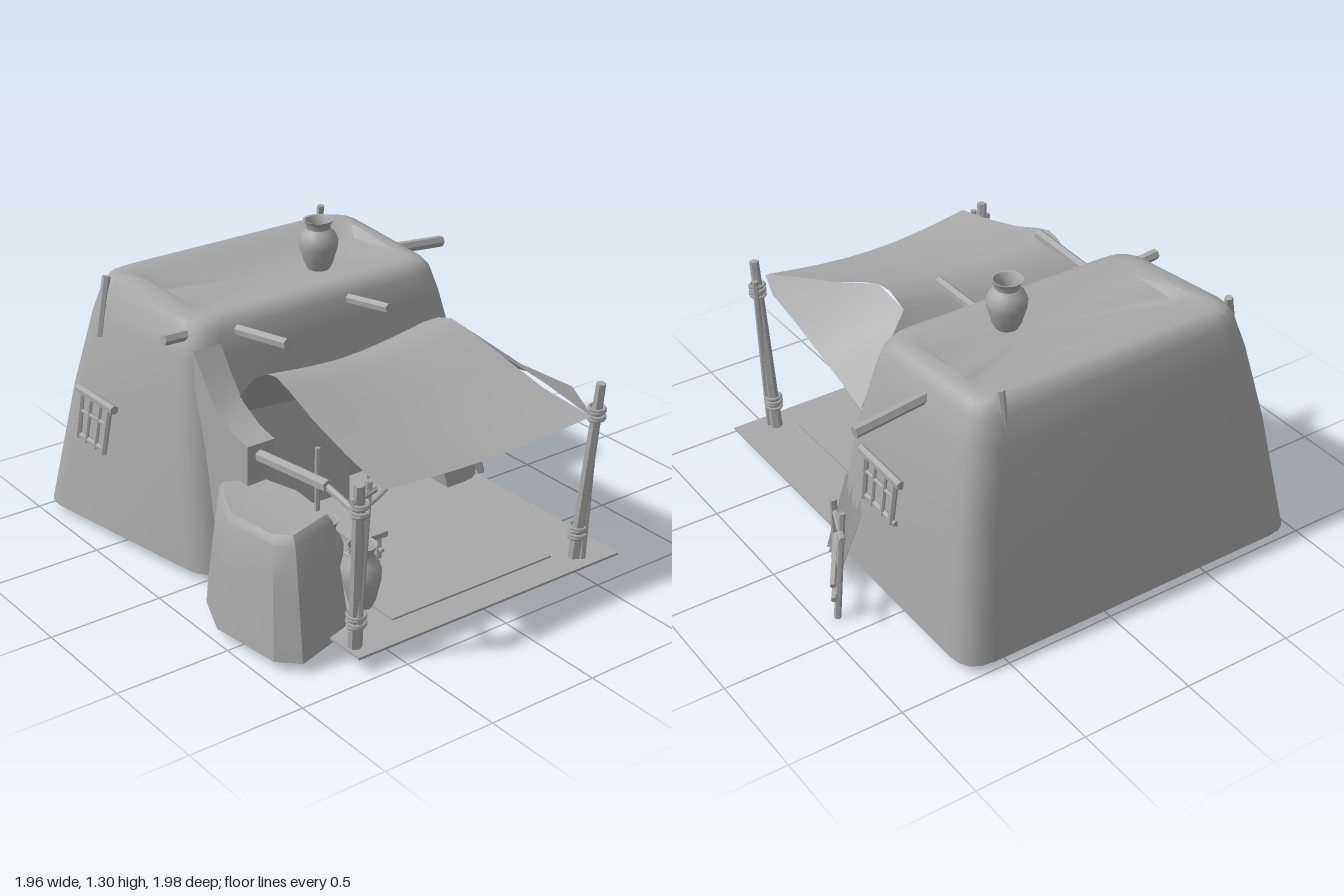
import * as THREE from 'three';
import { toCreasedNormals } from 'three/addons/utils/BufferGeometryUtils.js';

const clay = new THREE.MeshStandardMaterial({ color: 0xa8a8a8, side: THREE.DoubleSide });
clay.name = 'plain clay grey';

export function createModel() {
  const model = new THREE.Group();
  const V = (p) => new THREE.Vector3(...p);

  const add = (name, geo, parent = model) => {
    const mesh = new THREE.Mesh(geo, clay);
    mesh.name = name;
    parent.add(mesh);
    return mesh;
  };
  const group = (name) => {
    const g = new THREE.Group();
    g.name = name;
    model.add(g);
    return g;
  };
  const fromTriangles = (tris, crease) => {
    const geo = new THREE.BufferGeometry();
    geo.setAttribute('position', new THREE.Float32BufferAttribute(tris.flat(), 3));
    geo.computeVertexNormals();
    return crease ? toCreasedNormals(geo, crease) : geo;
  };
  // Skin between closed rings of points, with a fan on the last ring
  const loft = (rings, crease, skip = () => false) => {
    const tris = [], n = rings[0].length;
    for (let i = 0; i < rings.length - 1; i++) for (let j = 0; j < n; j++) {
      if (skip(i, j)) continue;
      const k = (j + 1) % n;
      const [a, b, c, d] = [rings[i][j], rings[i][k], rings[i + 1][k], rings[i + 1][j]];
      tris.push(...a, ...b, ...c, ...a, ...c, ...d);
    }
    const top = rings[rings.length - 1];
    const mid = [0, 1, 2].map((q) => top.reduce((s, p) => s + p[q], 0) / n);
    top.forEach((p, j) => tris.push(...p, ...top[(j + 1) % n], ...mid));
    return fromTriangles(tris, crease);
  };
  // Open sheet from rows of points
  const sheet = (rows, crease = 0.7) => {
    const tris = [];
    for (let i = 0; i < rows.length - 1; i++) for (let j = 0; j < rows[i].length - 1; j++) {
      const [a, b, c, d] = [rows[i][j], rows[i + 1][j], rows[i + 1][j + 1], rows[i][j + 1]];
      tris.push(...a, ...b, ...c, ...a, ...c, ...d);
    }
    return fromTriangles(tris, crease);
  };
  // Rough timber between two points
  const bar = (name, a, b, r, parent = model, sides = 6, r2 = r) => {
    const p = V(a), q = V(b);
    const geo = toCreasedNormals(new THREE.CylinderGeometry(r2, r, p.distanceTo(q), sides), 0.6);
    const mesh = add(name, geo, parent);
    mesh.position.copy(p).add(q).multiplyScalar(0.5);
    mesh.quaternion.setFromUnitVectors(new THREE.Vector3(0, 1, 0), q.sub(p).normalize());
    return mesh;
  };

  // House: tapering rounded rings; two extra points on the front edge frame the doorway
  const houseRing = ([y, xlb, xlf, xr, zb, zf, r, d0, d1], lift = 0) => {
    const corners = [[xlf, zf], [xr, zf], [xr, zb], [xlb, zb]];
    const ring = [];
    corners.forEach(([x, z], i) => {
      const toward = ([u, w]) => {
        const l = Math.hypot(u - x, w - z);
        return [x + (u - x) * r / l, z + (w - z) * r / l];
      };
      const s = toward(corners[(i + 3) % 4]), e = toward(corners[(i + 1) % 4]);
      for (let k = 0; k <= 4; k++) {
        const t = k / 4;
        const mix = (q, c) => (1 - t) ** 2 * s[q] + 2 * t * (1 - t) * c + t * t * e[q];
        const pz = mix(1, z);
        ring.push([mix(0, x), y + (pz < -0.5 ? lift : 0), pz]);
      }
      if (i === 0) ring.push([d0, y, zf], [d1, y, zf]);
    });
    return ring;
  };
  const house = group('house');
  add('houseWalls', loft([
    houseRing([0.05, -0.98, -0.8, 0.7, -1.0, 0.06, 0.13, -0.07, 0.48]),
    houseRing([0.61, -0.88, -0.78, 0.645, -0.92, -0.02, 0.13, -0.02, 0.38]),
    houseRing([0.95, -0.8, -0.75, 0.58, -0.865, -0.09, 0.13, -0.02, 0.36]),
    houseRing([1.05, -0.765, -0.725, 0.55, -0.835, -0.11, 0.13, -0.02, 0.36], 0.02),
    houseRing([1.09, -0.735, -0.695, 0.52, -0.81, -0.14, 0.12, -0.02, 0.36], 0.03),
    houseRing([1.1, -0.69, -0.65, 0.48, -0.78, -0.18, 0.1, -0.02, 0.36], 0.035),
    houseRing([1.1, -0.64, -0.62, 0.45, -0.66, -0.22, 0.09, -0.02, 0.34], 0.03),
    houseRing([1.09, -0.6, -0.58, 0.42, -0.6, -0.26, 0.08, -0.02, 0.32]),
  ], 0.7, (i, j) => i === 0 && j === 5), house);
  // Doorway recess
  const outer = [[-0.07, 0.05, 0.06], [-0.02, 0.61, -0.02], [0.38, 0.61, -0.02], [0.48, 0.05, 0.06]];
  const inner = outer.map(([x, y]) => [x, y, -0.3]);
  add('doorwaySides', sheet([outer, inner], 0.3), house);
  add('doorwayBack', sheet([[inner[0], inner[3]], [inner[1], inner[2]]]), house);

  // Floor and thin mat
  const slab = (name, x0, x1, z0, z1, y, h) => add(name,
    new THREE.BoxGeometry(x1 - x0, h, z1 - z0).translate((x0 + x1) / 2, y, (z0 + z1) / 2));
  slab('floor', -0.69, 0.67, -0.92, 0.94, 0.072, 0.01);
  slab('floorMat', -0.42, 0.42, 0.1, 0.8, 0.081, 0.008);

  // Door curtain with fringe
  const curtain = group('doorCurtain');
  bar('curtainRod', [-0.01, 0.595, -0.03], [0.38, 0.61, -0.03], 0.009, curtain);
  [0.08, 0.1, 0.27, 0.29].forEach((x) =>
    bar('curtainCord', [x, 0.6, -0.035], [x + (x < 0.2 ? 0.01 : -0.01), 0.34, -0.035], 0.004, curtain, 4));
  for (let i = 0; i < 8; i++) {
    const x = 0.1 + i * 0.025;
    bar('curtainFringe', [x, 0.35 - (i % 3) * 0.01, -0.035], [x, 0.2 + (i % 2) * 0.015, -0.035], 0.006, curtain, 4);
  }

  // Side store: low mud silo with a buttress to the house
  const base = [[-0.86, 0.81], [-0.57, 0.72], [-0.54, 0.4], [-0.6, 0.17], [-0.8, 0.06], [-0.9, 0.2], [-0.98, 0.4], [-0.94, 0.73]];
  const siloRing = (s, y) => base.map(([x, z]) => [-0.74 + (x + 0.74) * s, y, 0.46 + (z - 0.46) * s]);
  add('silo', loft([siloRing(1, 0.05), siloRing(0.88, 0.32), siloRing(0.78, 0.52), siloRing(0.7, 0.55), siloRing(0.5, 0.545)], 0.6));
  const side = new THREE.Shape([[-0.1, 0.05], [0.27, 0.05], [0.26, 0.45], [0.27, 0.72], [0.17, 0.74],
    [0.05, 0.8], [-0.03, 0.9], [-0.1, 1.0]].map(([z, y]) => new THREE.Vector2(z, y)));
  const buttress = new THREE.ExtrudeGeometry(side, { depth: 0.13, bevelEnabled: false });
  add('buttress', toCreasedNormals(buttress.rotateY(-Math.PI / 2).translate(-0.6, 0, 0), 0.6));

  // Awning: sagging cloth over a ridge, with a flap on the right; columns z, y, right edge
  const awning = group('awning');
  const rows = [[-0.04, 0.71, 0.57], [0.06, 0.84, 0.4], [0.15, 0.94, 0.24], [0.24, 0.99, 0.25], [0.3, 1.0, 0.27],
    [0.38, 0.975, 0.29], [0.55, 0.905, 0.33], [0.75, 0.845, 0.38], [0.98, 0.79, 0.43]];
  add('awningCloth', sheet(rows.map(([z, y, xr]) => Array.from({ length: 9 }, (_, i) => {
    const t = i / 8, sag = Math.sin(Math.PI * t);
    return [-0.61 + (xr + 0.61) * t, y + 0.025 * t * (z > 0.1 && z < 0.6 ? 1 : 0) - 0.04 * sag, z - (z > 0.9 ? 0.02 * sag : 0)];
  }))), awning);
  const flapTop = [[0.57, 0.69, -0.05], [0.24, 0.965, 0.15], [0.27, 1.025, 0.3], [0.33, 0.93, 0.55], [0.38, 0.87, 0.75], [0.43, 0.79, 0.98]];
  const flapEdge = [[0.57, 0.68, -0.05], [0.555, 0.72, 0.13], [0.545, 0.75, 0.3], [0.53, 0.79, 0.55], [0.52, 0.82, 0.77], [0.44, 0.785, 0.98]];
  add('awningFlap', sheet([flapTop, flapEdge]), awning);

  // Awning posts with rope bindings
  const frame = group('awningFrame');
  const binding = (x, y, z, r) => {
    for (let i = 0; i < 4; i++) {
      const ring = add('ropeBinding', new THREE.TorusGeometry(r, 0.008, 5, 10), frame);
      ring.position.set(x, y + i * 0.016, z);
      ring.rotation.set(Math.PI / 2 + 0.12 * (i % 2 ? 1 : -1), 0, 0);
    }
  };
  bar('rightPost', [0.5, 0.05, 0.85], [0.51, 0.9, 0.945], 0.028, frame, 6, 0.021);
  bar('rightPostBrace', [0.52, 0.07, 0.88], [0.53, 0.82, 0.91], 0.014, frame);
  bar('leftPost', [-0.65, 0.06, 0.86], [-0.69, 0.82, 0.94], 0.03, frame, 6, 0.022);
  bar('leftPostBrace', [-0.66, 0.2, 0.9], [-0.63, 0.81, 0.92], 0.014, frame);
  binding(0.51, 0.74, 0.93, 0.032);
  binding(0.5, 0.18, 0.865, 0.034);
  binding(-0.68, 0.69, 0.93, 0.034);
  binding(-0.655, 0.18, 0.875, 0.036);
  bar('sideBeam', [-0.69, 0.735, 0.75], [-0.69, 0.685, 0.3], 0.026, frame);
  bar('sideBeamTip', [-0.69, 0.69, 0.96], [-0.69, 0.735, 0.72], 0.015, frame);
  bar('frontBeam', [-0.72, 0.75, 0.93], [-0.6, 0.77, 0.92], 0.015, frame);
  bar('siloStick', [-0.63, 0.5, 0.59], [-0.63, 0.82, 0.6], 0.011, frame);
  const rope = new THREE.CatmullRomCurve3([[-0.68, 0.7, 0.93], [-0.55, 0.73, 0.9], [-0.45, 0.765, 0.86], [-0.36, 0.77, 0.8]].map(V));
  add('cornerRope', new THREE.TubeGeometry(rope, 12, 0.011, 5), frame);

  // Roof timbers
  const timbers = group('roofTimbers');
  [[[-0.82, 1.045, -0.18], [-0.6, 1.03, -0.19], 0.024],
    [[-0.48, 1.07, 0.2], [-0.51, 1.03, -0.14], 0.024],
    [[0.08, 1.06, 0.13], [0.05, 1.03, -0.14], 0.022],
    [[0.54, 1.02, -0.5], [0.88, 0.985, -0.51], 0.026],
    [[0.42, 0.98, -0.84], [0.42, 1.17, -0.81], 0.016],
    [[-0.81, 0.88, -0.71], [-0.75, 1.13, -0.73], 0.018],
  ].forEach(([a, b, r]) => bar('timber', a, b, r, timbers));

  // Barred side windows: a function of z centre and wall x at top and bottom
  const window_ = (name, x0, x1, z, s) => {
    const g = group(name);
    bar('lintel', [x1, 0.615, z - 0.15], [x1, 0.62, z + 0.15], 0.02, g);
    bar('sill', [x0, 0.42, z - 0.13], [x0, 0.425, z + 0.1], 0.014, g);
    bar('crossBar', [(x0 + x1) / 2, 0.53, z - 0.11], [(x0 + x1) / 2, 0.54, z + 0.11], 0.009, g);
    for (const dz of [-0.11, -0.04, 0.04, 0.11])
      bar('upright', [x0 + s * 0.01, 0.41, z + dz * 0.95], [x1, 0.62, z + dz], Math.abs(dz) > 0.1 ? 0.014 : 0.009, g);
  };
  window_('rightWindow', 0.67, 0.655, -0.32, 1);
  window_('leftWindow', -0.895, -0.865, -0.67, -1);

  // Jars
  const jar = (name, x, y, z, r, h) => {
    const profile = [[0, 0], [0.55, 0], [0.72, 0.12], [0.97, 0.45], [1, 0.58], [0.85, 0.72], [0.6, 0.82],
      [0.62, 0.9], [0.78, 1], [0.66, 0.99], [0.5, 0.85], [0.5, 0.7], [0, 0.65]];
    const pts = profile.map(([u, v]) => new THREE.Vector2(u * r, v * h));
    add(name, toCreasedNormals(new THREE.LatheGeometry(pts, 18), 0.8)).position.set(x, y, z);
  };
  jar('roofJar', 0.075, 1.09, -0.355, 0.085, 0.22);
  jar('frontJar', -0.45, 0.085, 0.64, 0.082, 0.275);
  jar('backJar', -0.46, 0.085, 0.4, 0.082, 0.285);

  // Bench
  const bench = group('bench');
  add('benchSeat', new THREE.BoxGeometry(0.17, 0.025, 0.38).translate(-0.23, 0.21, 0.23), bench);
  for (const x of [-0.3, -0.165]) {
    for (const z of [0.08, 0.38]) bar('benchLeg', [x, 0.08, z], [x, 0.2, z], 0.013, bench);
    bar('benchRail', [x, 0.13, 0.05], [x, 0.13, 0.41], 0.009, bench);
  }

  // Planks leaning on the right wall
  const planks = group('leaningPlanks');
  for (let i = 0; i < 5; i++) {
    const z = -0.01 - i * 0.036;
    bar('plank', [0.73 + 0.012 * i, 0.05, z - 0.005], [0.63 + 0.006 * (i % 3), 0.4 - 0.01 * (i % 2), z - 0.02], 0.02, planks, 4);
  }

  // Ladder
  const ladder = group('ladder');
  [[[0.92, 0.01, -0.385], [0.865, 0.5, -0.36], 0.015],
    [[0.81, 0.06, -0.2], [0.825, 0.47, -0.225], 0.015],
    [[0.8, 0.405, -0.18], [0.9, 0.42, -0.42], 0.013],
    [[0.795, 0.3, -0.19], [0.97, 0.24, -0.45], 0.013],
    [[0.79, 0.15, -0.18], [0.94, 0.12, -0.4], 0.013],
  ].forEach(([a, b, r], i) => bar(i < 2 ? 'ladderRail' : 'ladderRung', a, b, r, ladder));

  return model;
}
